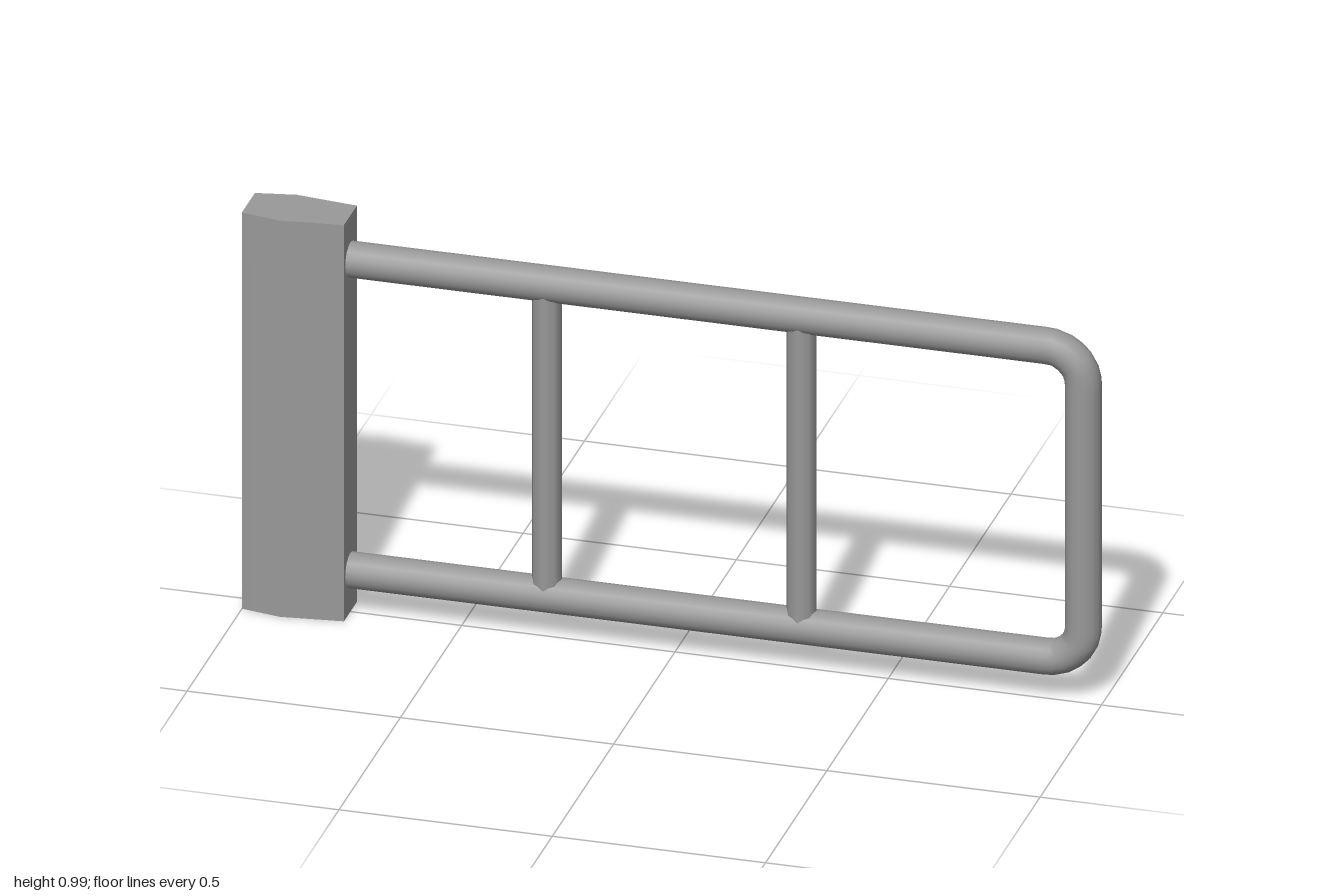
import * as THREE from 'three';
import { toCreasedNormals } from 'three/addons/utils/BufferGeometryUtils.js';

export function createModel() {
  const model = new THREE.Group();
  const material = new THREE.MeshStandardMaterial({ color: 0x999999 });
  const add = (name, geometry) => {
    const mesh = new THREE.Mesh(geometry, material);
    mesh.name = name;
    model.add(mesh);
    return mesh;
  };

  // Upright post: six-sided section with softly bowed broad faces
  const section = new THREE.Shape([
    [-1, -0.053], [-0.907, -0.07], [-0.761, -0.053],
    [-0.761, 0.053], [-0.907, 0.07], [-1, 0.053],
  ].map(([x, z]) => new THREE.Vector2(x, z)));
  const post = new THREE.ExtrudeGeometry(section, { depth: 0.99, bevelEnabled: false });
  post.rotateX(-Math.PI / 2);
  add('post', toCreasedNormals(post, 0.6));

  // Rail: one U-shaped tube with rounded corners, rooted in the post
  const radius = 0.042, bend = 0.085;
  const low = 0.105, high = 0.881, start = -0.79, end = 1 - radius;
  const v = (x, y) => new THREE.Vector3(x, y, 0);
  const corner = (y, side) => {
    // Points of a quarter bend, from the horizontal run to the vertical one
    const points = [];
    for (let i = 0; i <= 8; i++) {
      const a = (i / 8) * Math.PI / 2;
      points.push(v(end - bend + bend * Math.sin(a), y + side * bend * (1 - Math.cos(a))));
    }
    return points;
  };
  const points = [v(start, low), ...corner(low, 1), ...corner(high, -1).reverse(), v(start, high)];
  const path = new THREE.CurvePath();
  for (let i = 1; i < points.length; i++) path.add(new THREE.LineCurve3(points[i - 1], points[i]));
  add('rail', new THREE.TubeGeometry(path, 200, radius, 16, false));

  // Two thinner eight-sided rungs between the rail's runs
  for (const x of [-0.3, 0.297]) {
    const rung = add('rung', new THREE.CylinderGeometry(0.035, 0.035, high - low, 8));
    rung.position.set(x, (low + high) / 2, 0);
  }
  return model;
}
